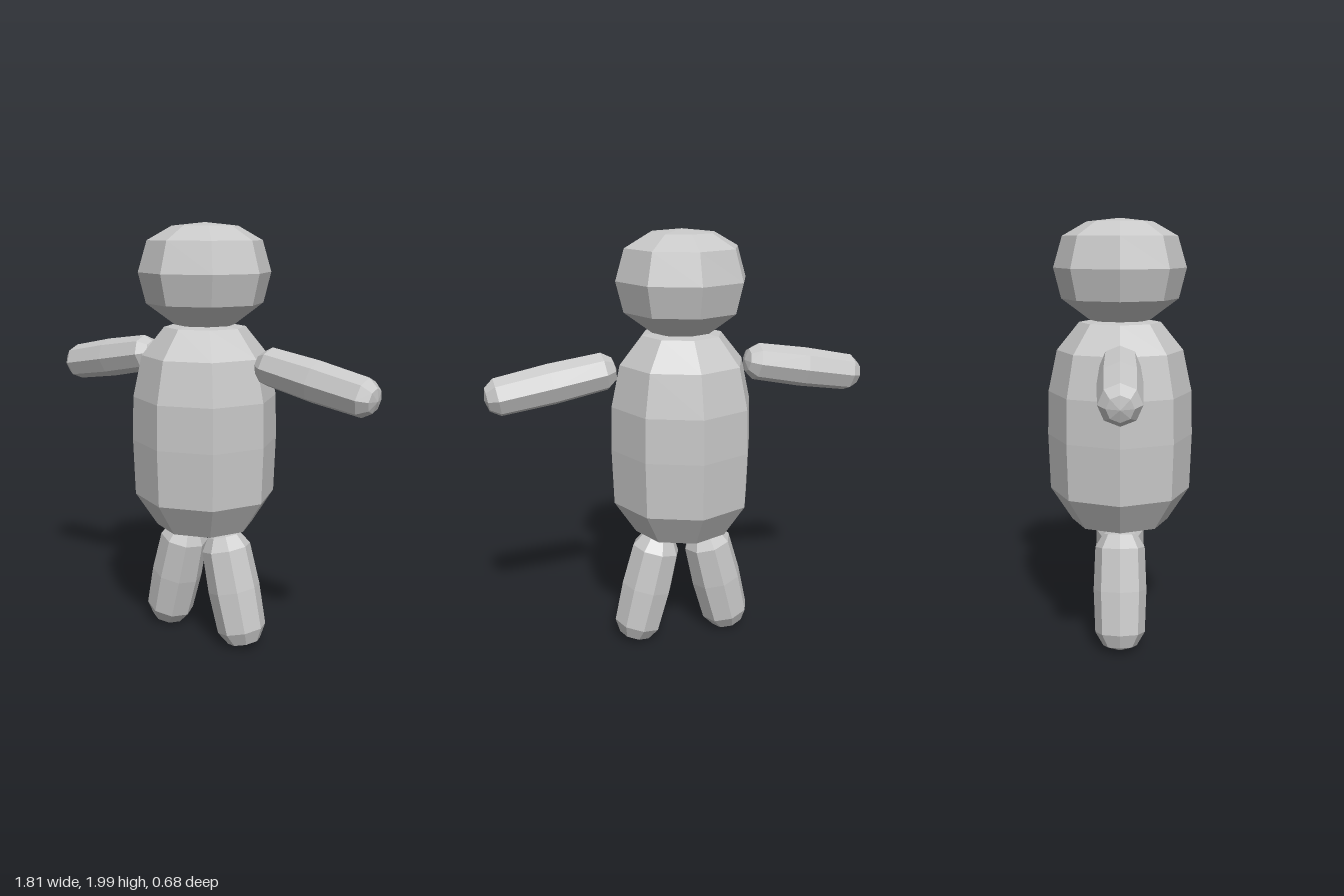
import * as THREE from 'three';

const SIDES = 8;

// Eight-sided turned solid; profile is [radius, y] from bottom to top
function turned(name, profile, material) {
  const points = profile.map(([r, y]) => new THREE.Vector2(r, y));
  const mesh = new THREE.Mesh(new THREE.LatheGeometry(points, SIDES), material);
  mesh.name = name;
  return mesh;
}

// Limb profile: half of the rings, repeated upside down
function symmetric(half) {
  return [
    ...half.map(([r, y]) => [r, -y]),
    ...half.slice().reverse().filter(([, y]) => y > 0),
  ];
}

export function createModel() {
  const model = new THREE.Group();
  model.name = 'figure';
  const grey = new THREE.MeshStandardMaterial({ color: 0xc8c8c8, flatShading: true });
  grey.name = 'plain grey';

  // Barrel-shaped torso
  model.add(turned('torso', [
    [0, 0.515], [0.23, 0.578], [0.333, 0.735], [0.342, 1.0],
    [0.337, 1.206], [0.295, 1.4], [0.19, 1.53], [0, 1.56],
  ], grey));

  // Rounded head
  model.add(turned('head', [
    [0, 1.52], [0.14, 1.54], [0.272, 1.638], [0.307, 1.778],
    [0.265, 1.92], [0.152, 1.984], [0, 2.0],
  ], grey));

  // Arms and legs, mirrored
  const armProfile = symmetric([[0, 0.303], [0.055, 0.29], [0.088, 0.245], [0.095, 0]]);
  const legProfile = symmetric([[0, 0.287], [0.079, 0.263], [0.117, 0.2], [0.125, 0]]);
  for (const [side, s] of [['left', 1], ['right', -1]]) {
    const arm = turned(side + 'Arm', armProfile, grey);
    arm.position.set(s * 0.609, 1.334, 0);
    arm.rotation.z = -s * THREE.MathUtils.degToRad(100);

    const leg = turned(side + 'Leg', legProfile, grey);
    leg.position.set(s * 0.18, 0.285, 0);
    leg.rotation.z = s * THREE.MathUtils.degToRad(14);
    model.add(arm, leg);
  }
  return model;
}
